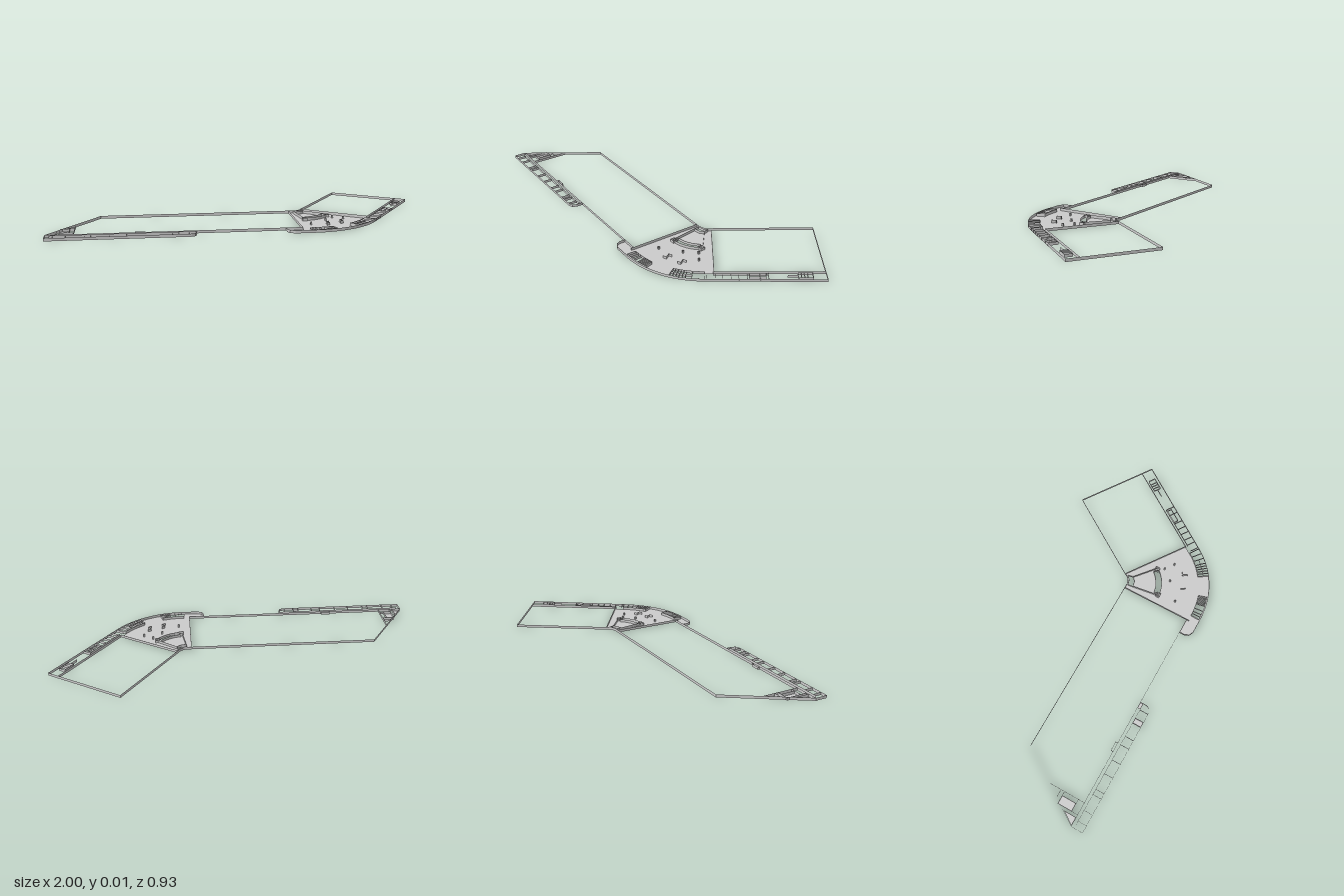
import * as THREE from 'three';

const H = 0.015; // wall height
const PIVOT = [0.3, 0];

// Point on an arc round the bend: radius, angle in degrees (90 = towards +z)
const polar = (r, deg) => {
  const a = THREE.MathUtils.degToRad(deg);
  return [PIVOT[0] + r * Math.cos(a), PIVOT[1] + r * Math.sin(a)];
};
const arc = (r, from, to, n = 12) =>
  Array.from({ length: n + 1 }, (_, i) => polar(r, from + ((to - from) * i) / n));

// Point in the angled wing: distance along it, offset towards its outer side
const wing = (s, o) => [PIVOT[0] + 0.56 * s + 0.829 * o, PIVOT[1] - 0.829 * s + 0.56 * o];
const rect = (x0, z0, x1, z1) => [[x0, z0], [x1, z0], [x1, z1], [x0, z1]];
const wingRect = (s0, o0, s1, o1) => [wing(s0, o0), wing(s1, o0), wing(s1, o1), wing(s0, o1)];
const closed = (pts) => [...pts, pts[0]];

export function createModel() {
  const model = new THREE.Group();
  const material = new THREE.MeshStandardMaterial({ color: 0xcccccc, side: THREE.DoubleSide, flatShading: true });

  // Thin upright sheets following one or more paths of [x, z] points
  const walls = (name, paths) => {
    const pos = [];
    for (const path of paths) {
      for (let i = 0; i < path.length - 1; i++) {
        const [ax, az] = path[i], [bx, bz] = path[i + 1];
        pos.push(ax, 0, az, bx, 0, bz, bx, H, bz, ax, 0, az, bx, H, bz, ax, H, az);
      }
    }
    const g = new THREE.BufferGeometry();
    g.setAttribute('position', new THREE.Float32BufferAttribute(pos, 3));
    g.computeVertexNormals();
    const mesh = new THREE.Mesh(g, material);
    mesh.name = name;
    model.add(mesh);
  };

  // Flat floor with optional openings
  const floor = (name, outline, holes = []) => {
    const v = (pts) => pts.map(([x, z]) => new THREE.Vector2(x, -z));
    const shape = new THREE.Shape(v(outline));
    shape.holes = holes.map((h) => new THREE.Path(v(h)));
    const mesh = new THREE.Mesh(new THREE.ShapeGeometry(shape).rotateX(-Math.PI / 2), material);
    mesh.name = name;
    model.add(mesh);
  };

  // Straight wing: shell and corridor
  walls('straightWingShell', [
    [[0.26, 0], [-0.75, 0], [-1, 0.385], [-1, 0.45], [-0.3, 0.45], [-0.28, 0.44], [-0.272, 0.42], [-0.272, 0.385]],
    [[-1, 0.385], [0.26, 0.385]],
    [[-0.867, 0.385], [-0.867, 0.18]],
  ]);

  // Straight wing: front row of rooms
  const roomXs = [-0.96, -0.9, -0.81, -0.78, -0.69, -0.61, -0.52, -0.47, -0.39, -0.36, -0.31];
  walls('frontRooms', [
    [[-0.98, 0.402], [-0.275, 0.402]],
    ...roomXs.map((x) => [[x, 0.402], [x, 0.45]]),
    closed(rect(-0.57, 0.373, -0.52, 0.385)),
  ]);
  floor('smallRoomFloor', rect(-0.39, 0.402, -0.36, 0.45));
  floor('frontEndFloor', rect(-0.305, 0.385, -0.272, 0.402));

  // Corner rooms at the slanted end
  const cornerRoom = rect(-0.935, 0.27, -0.89, 0.35);
  walls('cornerRooms', [
    closed(cornerRoom),
    [[-0.935, 0.285], [-0.935, 0.385]],
    [[-0.95, 0.31], [-0.95, 0.385]],
    [[-0.925, 0.27], [-0.867, 0.27]],
    [[-0.89, 0.35], [-0.867, 0.35]],
    [[-0.91, 0.25], [-0.867, 0.25]],
  ]);
  floor('cornerRoomFloor', cornerRoom);
  floor('cornerEndFloor', [[-0.995, 0.383], [-0.95, 0.315], [-0.95, 0.383]]);

  // Fan-shaped hall at the bend
  const innerEdge = [[0.335, -0.038], [0.325, -0.02], [0.305, -0.005], [0.285, 0], [0.26, 0]];
  const tail = [[0.26, 0.385], [0.175, 0.385], [0.175, 0.415], [0.185, 0.438], [0.21, 0.45]];
  const bench = [...arc(0.155, 84, 38), ...arc(0.185, 38, 84)];
  const serviceRooms = [...arc(0.395, 91, 73), ...arc(0.442, 73, 91)];
  const lobby = [[0.285, 0.008], [0.315, 0], [0.333, -0.018], [0.34, 0.01], [0.32, 0.028], [0.288, 0.035]];
  floor('hallFloor',
    [...innerEdge, ...tail, ...arc(0.45, 90, 56), ...arc(0.39, 56, 36, 8), [0.65, 0.18]],
    [bench, serviceRooms, lobby]);
  walls('hallShell', [
    [[0.65, 0.18], ...innerEdge, [0.26, 0.4]],
    [...tail, ...arc(0.45, 90, 34, 24)],
  ]);

  // Curved inner room and its bench
  walls('innerRoom', [
    closed(bench), closed(lobby),
    [[0.288, 0.035], polar(0.185, 87)],
    [[0.34, 0.01], polar(0.185, 34)],
    ...[86, 36].map((deg) => {
      const [x, z] = polar(0.18, deg);
      return closed(rect(x - 0.012, z - 0.012, x + 0.012, z + 0.012));
    }),
  ]);

  // Service rooms and stair flights along the outer curve
  const rib = (deg, r0 = 0.395, r1 = 0.442) => [polar(r0, deg), polar(r1, deg)];
  walls('curvedServiceRooms', [closed(serviceRooms), ...[89, 87, 84, 80, 79, 78, 77, 76, 75, 74].map((d) => rib(d))]);
  walls('curvedEndRooms', [
    arc(0.39, 56, 34),
    arc(0.42, 56, 42),
    ...[56, 54, 52, 50, 48, 46, 42, 38, 34].map((d) => rib(d, 0.39, 0.45)),
  ]);

  // Small columns and low partitions standing in the hall
  const columns = [[0.325, 0.28], [0.42, 0.2], [0.47, 0.14], [0.52, 0.175]];
  walls('hallColumns', columns.map(([x, z]) => closed(rect(x - 0.004, z - 0.004, x + 0.004, z + 0.004))));
  walls('hallPartitions', [[0.412, 0.285], [0.49, 0.255]].map(([x, z]) =>
    [[x + 0.01, z - 0.02], [x - 0.008, z - 0.012], [x + 0.008, z + 0.012], [x - 0.01, z + 0.02]]));

  // Angled wing: shell, corridor and outer rooms
  const L = 0.575;
  walls('angledWingShell', [
    [[0.335, -0.038], wing(L, 0), wing(L, 0.455), wing(0, 0.45)],
    [wing(0.04, 0.39), wing(L, 0.39)],
    [wing(0.04, 0.402), wing(0.3, 0.402)],
  ]);
  walls('angledWingRooms', [
    ...[0.01, 0.05, 0.085, 0.124, 0.16, 0.2, 0.26, 0.3].map((s) => [wing(s, 0.402), wing(s, 0.453)]),
    closed(wingRect(0.21, 0.405, 0.29, 0.43)),
    closed(wingRect(0.44, 0.4, 0.51, 0.44)),
    ...[0.455, 0.47, 0.485].map((s) => [wing(s, 0.4), wing(s, 0.44)]),
    [wing(0.39, 0.42), wing(0.44, 0.42)],
  ]);

  return model;
}
